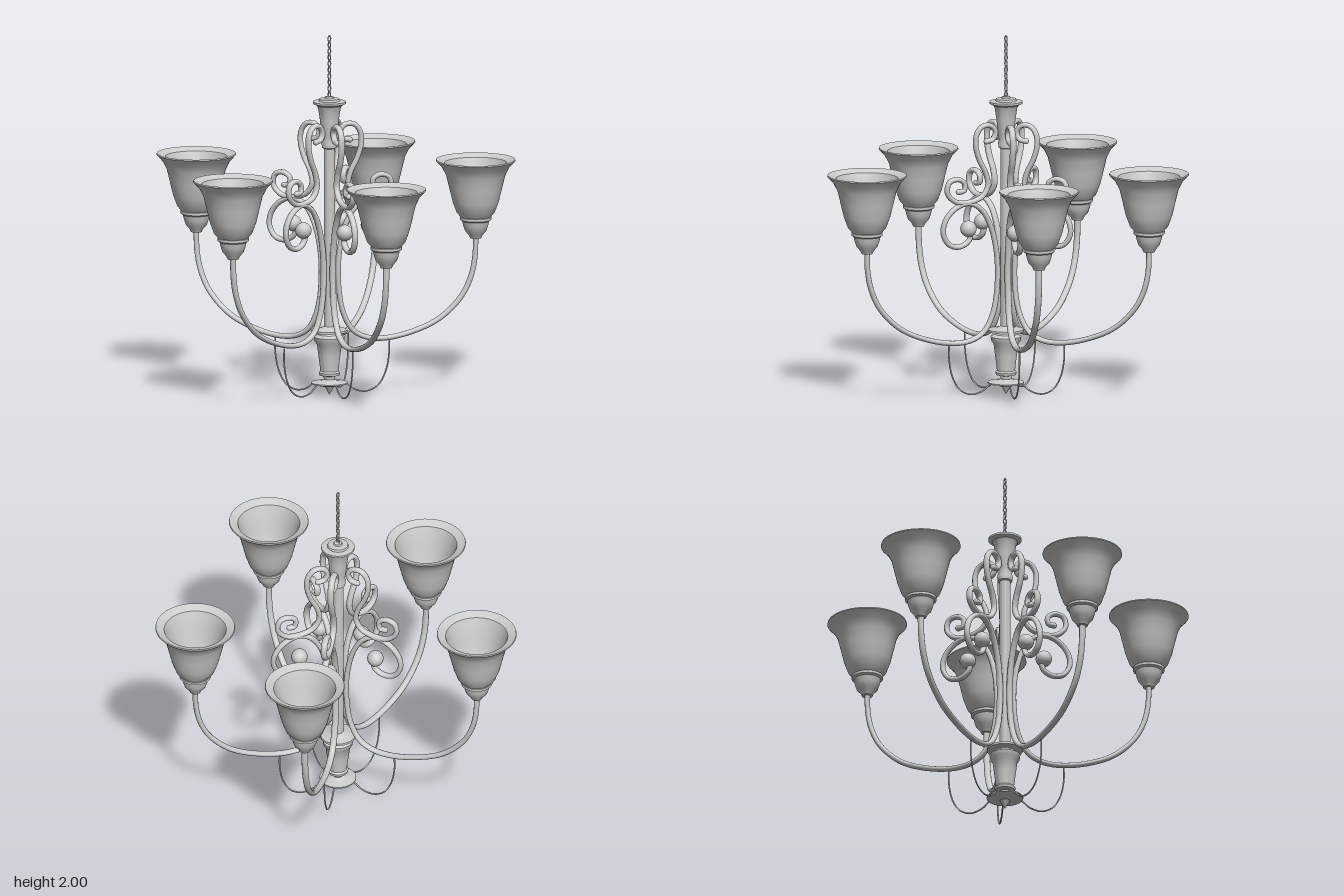
import * as THREE from 'three';
import { toCreasedNormals } from 'three/addons/utils/BufferGeometryUtils.js';

const material = new THREE.MeshStandardMaterial({ color: 0xcccccc });
const doubleSided = new THREE.MeshStandardMaterial({ color: 0xcccccc, side: THREE.DoubleSide });

function add(parent, name, geometry, mat = material) {
  const mesh = new THREE.Mesh(geometry, mat);
  mesh.name = name;
  parent.add(mesh);
  return mesh;
}

// Turned part from [radius, y] pairs, listed upwards along the outside
function turned(profile, segments = 40) {
  const points = profile.map(([r, y]) => new THREE.Vector2(r, y));
  return toCreasedNormals(new THREE.LatheGeometry(points, segments), 0.6);
}

// Bent bar in the XY plane, stretched across the bend by `widen`
function bar(path, radius, steps, widen = 1, sides = 10) {
  const curve = new THREE.CatmullRomCurve3(path.map(([x, y]) => new THREE.Vector3(x, y, 0)));
  return new THREE.TubeGeometry(curve, steps, radius, sides).scale(1, 1, widen);
}

const ARM = [
  [0.822, 0.86], [0.818, 0.74], [0.795, 0.63], [0.74, 0.52], [0.62, 0.405], [0.46, 0.335],
  [0.30, 0.306], [0.20, 0.318], [0.13, 0.36], [0.075, 0.465], [0.05, 0.64], [0.058, 0.81],
  [0.095, 0.955], [0.15, 1.043], [0.225, 1.078], [0.305, 1.05], [0.36, 0.985], [0.37, 0.915],
  [0.335, 0.855], [0.275, 0.84], [0.22, 0.87], [0.205, 0.92],
];
const SCROLL = [
  [0.115, 1.415], [0.077, 1.425], [0.062, 1.465], [0.088, 1.50], [0.138, 1.50], [0.172, 1.46],
  [0.178, 1.39], [0.155, 1.31], [0.12, 1.24], [0.107, 1.17], [0.14, 1.112], [0.21, 1.085],
  [0.295, 1.09], [0.345, 1.14], [0.335, 1.20], [0.285, 1.215], [0.245, 1.19], [0.25, 1.15], [0.28, 1.145],
];
const SWAG = [
  [0.335, 0.30], [0.335, 0.22], [0.315, 0.12], [0.27, 0.045], [0.205, 0.016], [0.14, 0.03], [0.095, 0.066],
];
// Outside of the glass going up, over the rim and down the inside
const SHADE = [
  [0.075, 0.95], [0.105, 0.985], [0.127, 1.045], [0.145, 1.12], [0.162, 1.19], [0.185, 1.235],
  [0.218, 1.27], [0.216, 1.277], [0.17, 1.258], [0.155, 1.215], [0.137, 1.14], [0.118, 1.06],
  [0.096, 1.0], [0.05, 0.97], [0, 0.97],
];
const CUP = [
  [0, 0.838], [0.03, 0.84], [0.037, 0.856], [0.058, 0.88], [0.068, 0.91], [0.074, 0.935],
  [0.086, 0.943], [0.086, 0.957], [0.07, 0.962], [0, 0.962],
];
const SOCKET = [[0.05, 0.97], [0.045, 0.99], [0.028, 1.0], [0.024, 1.03], [0, 1.03]];
const COLUMN = [
  [0, 0.003], [0.012, 0.025], [0.027, 0.052], [0.05, 0.054], [0.1, 0.066], [0.1, 0.073],
  [0.045, 0.08], [0.03, 0.09], [0.032, 0.108], [0.055, 0.113], [0.058, 0.128], [0.05, 0.137],
  [0.052, 0.16], [0.06, 0.22], [0.068, 0.285], [0.08, 0.30], [0.084, 0.325], [0.06, 0.338],
  [0.055, 0.348], [0.098, 0.353], [0.098, 0.365], [0.05, 0.372], [0.03, 0.385], [0.03, 1.37],
  [0.04, 1.375], [0.043, 1.40], [0.038, 1.42], [0.043, 1.44], [0.052, 1.53], [0.062, 1.595],
  [0.07, 1.61], [0.091, 1.62], [0.091, 1.631], [0.058, 1.634], [0.055, 1.646], [0.025, 1.649],
  [0.022, 1.658], [0, 1.66],
];

// One arm with its scrolls, glass and swag, reaching along +x
function createArm(reach) {
  const arm = new THREE.Group();
  const scale = reach / 0.822;
  const squeeze = (path) => path.map(([r, y]) => [r * scale, y]);

  add(arm, 'curvedArm', bar(squeeze(ARM), 0.0145, 150, 1.25));
  add(arm, 'armEndBall', new THREE.SphereGeometry(0.045, 20, 14)).position.set(0.222 * scale, 0.937, 0);

  const scroll = squeeze(SCROLL);
  add(arm, 'upperScroll', bar(scroll, 0.0145, 130, 1.25));
  for (const [x, y] of [scroll[0], scroll[scroll.length - 1]]) {
    add(arm, 'scrollTip', new THREE.SphereGeometry(0.0165, 12, 8)).position.set(x, y, 0);
  }
  add(arm, 'hangingSwag', bar(SWAG, 0.0045, 50, 1, 6));

  const lamp = new THREE.Group();
  lamp.name = 'lamp';
  lamp.position.x = reach;
  add(lamp, 'shade', turned(SHADE, 48), doubleSided);
  add(lamp, 'shadeCup', turned(CUP));
  add(lamp, 'bulbSocket', turned(SOCKET, 24));
  add(lamp, 'bulbPin', new THREE.BoxGeometry(0.03, 0.03, 0.03)).position.y = 1.04;
  arm.add(lamp);
  return arm;
}

export function createModel() {
  const model = new THREE.Group();
  model.name = 'chandelier';
  const body = new THREE.Group();
  body.name = 'body';
  body.position.set(-0.005, 0, -0.005);
  model.add(body);

  add(body, 'centralColumn', turned(COLUMN));

  // Hanging chain: oval links turned alternately by a quarter
  const links = 10;
  for (let i = 0; i < links; i++) {
    const link = add(body, 'chainLink', new THREE.TorusGeometry(0.0095, 0.0036, 6, 16).scale(1, 1.7, 1));
    link.position.y = 1.668 + (i * (1.978 - 1.668)) / (links - 1);
    link.rotation.y = i % 2 ? 0 : Math.PI / 2;
  }

  // Lamp centres [x, z] around the column
  const lamps = [[-0.713, 0.017], [-0.263, 0.775], [0.725, 0.385], [0.705, -0.425], [-0.295, -0.768]];
  for (const [x, z] of lamps) {
    const arm = createArm(Math.hypot(x, z));
    arm.name = 'arm';
    arm.rotation.y = -Math.atan2(z, x);
    body.add(arm);
  }
  return model;
}
